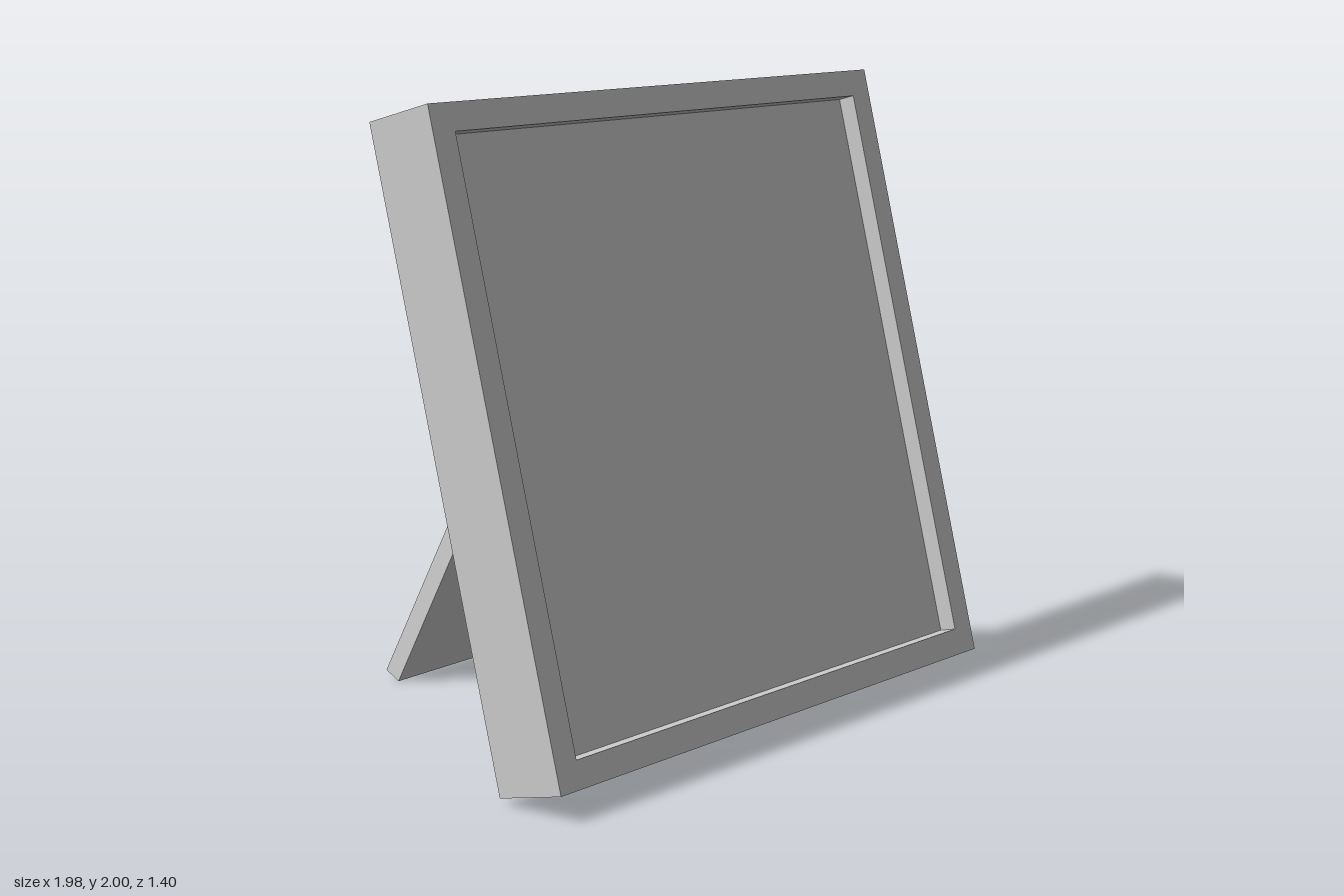
import * as THREE from 'three';

const SIZE = 1.984;   // frame width and height
const DEPTH = 0.257;  // frame depth
const TILT = -0.262;  // frame leans back 15 degrees

const material = new THREE.MeshStandardMaterial({ color: 0xcccccc, flatShading: true });

function addMesh(parent, name, geometry) {
  const mesh = new THREE.Mesh(geometry, material);
  mesh.name = name;
  parent.add(mesh);
  return mesh;
}

// Square ring: a closed moulding profile [half width, depth] swept round four mitred sides
function squareRing(profile) {
  const points = profile.map(([r, d]) => new THREE.Vector2(r * Math.SQRT2, d));
  points.push(points[0].clone());
  const ring = new THREE.LatheGeometry(points, 4, Math.PI / 4).toNonIndexed();
  ring.rotateX(Math.PI / 2);
  ring.computeVertexNormals();
  return ring;
}

// Flat board that narrows towards the top; its foot's back edge is at the origin
function taperedBoard(bottomWidth, topWidth, length, thickness) {
  const board = new THREE.BoxGeometry(1, length, thickness).toNonIndexed();
  board.translate(0, length / 2, thickness / 2);
  const p = board.attributes.position;
  for (let i = 0; i < p.count; i++) {
    p.setX(i, p.getX(i) * THREE.MathUtils.lerp(bottomWidth, topWidth, p.getY(i) / length));
  }
  board.computeVertexNormals();
  return board;
}

export function createModel() {
  const model = new THREE.Group();
  model.name = 'pictureFrame';

  const body = new THREE.Group();
  body.name = 'frameBody';
  body.position.set(0, 1.009, 0.319);
  body.rotation.x = TILT;
  model.add(body);

  // Surround with a front lip and a rabbet open to the back
  const half = SIZE / 2, front = DEPTH / 2, lip = front - 0.06;
  const opening = half - 0.085, rabbet = half - 0.066;
  addMesh(body, 'surround', squareRing([
    [half, -front], [half, front], [opening, front],
    [opening, lip], [rabbet, lip], [rabbet, -front],
  ]));

  // Picture and backing panel, recessed on both faces
  const backFace = -front + 0.03;
  const panel = addMesh(body, 'picturePanel',
    new THREE.BoxGeometry(rabbet * 2, rabbet * 2, lip - backFace));
  panel.position.z = (lip + backFace) / 2;

  // Easel leg, very slightly askew
  const leg = addMesh(model, 'easelLeg', taperedBoard(0.83, 0.39, 1.74, 0.065));
  leg.position.set(0.01, 0.034, -0.7);
  leg.rotation.set(0.429, 0, 0.015, 'ZYX');

  return model;
}
